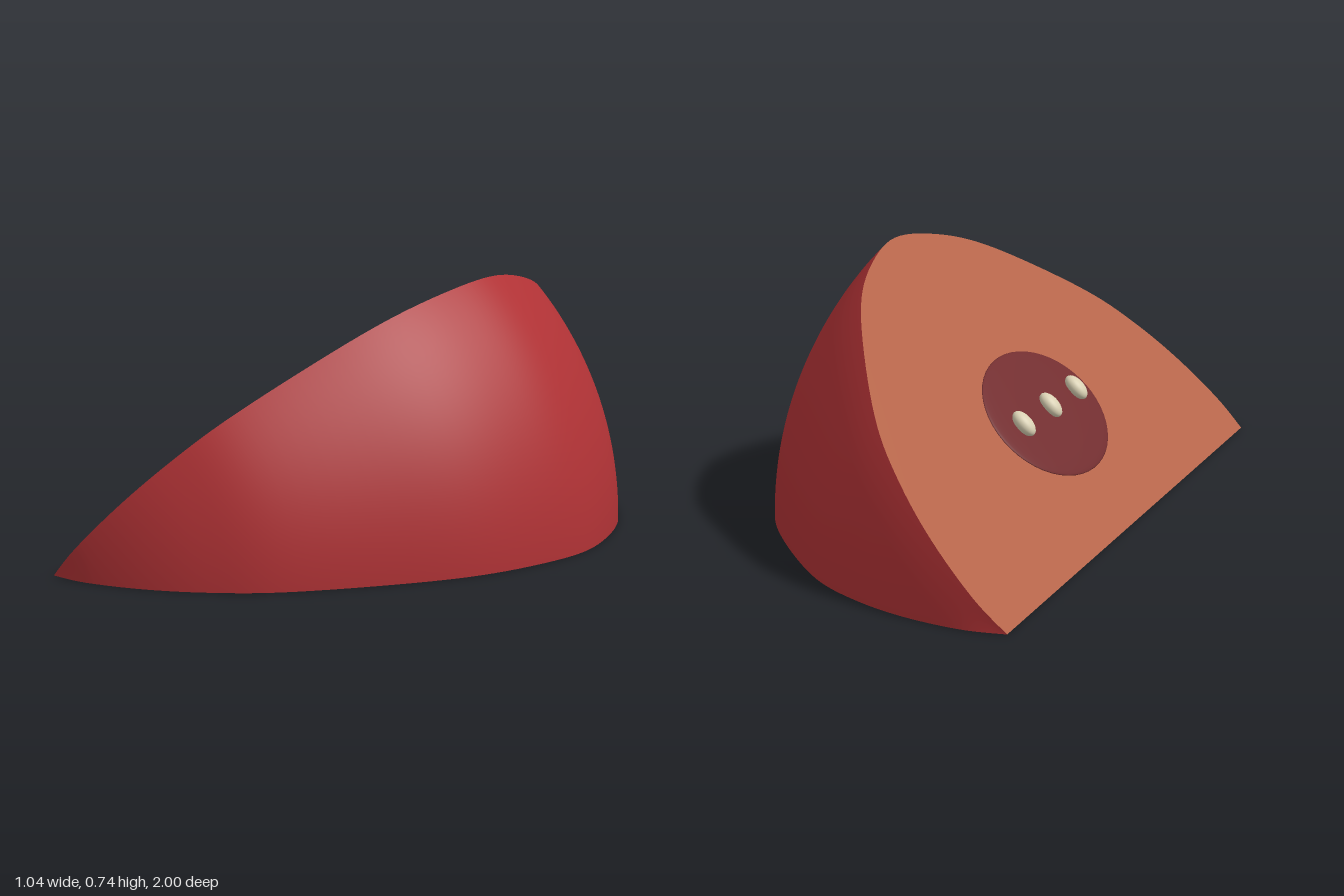
import * as THREE from 'three';

const WEDGE = Math.PI / 4;

function material(name, color, side = THREE.FrontSide) {
  const m = new THREE.MeshStandardMaterial({ color, side });
  m.name = name;
  return m;
}

export function createModel() {
  const skin = material('red skin', 0xb03235, THREE.DoubleSide);
  const flesh = material('flesh', 0xb5654a);
  const core = material('dark core', 0x722e30);
  const seed = material('cream seed', 0xd8cfb2);

  // Half profile (radius, length along z), from the middle to the slightly dimpled tip
  const half = [[1.04, 0], [1.005, 0.2], [0.925, 0.4], [0.785, 0.6], [0.605, 0.8],
    [0.45, 0.905], [0.29, 0.97], [0.12, 1], [0, 0.988]];
  const points = [
    ...half.slice(1).reverse().map(([r, z]) => new THREE.Vector2(r, -z)),
    ...half.map(([r, z]) => new THREE.Vector2(r, z)),
  ];
  const profile = new THREE.SplineCurve(points).getPoints(96);
  profile.forEach((p) => { p.x = Math.max(p.x, 0); });

  const model = new THREE.Group();
  model.name = 'fruitWedge';
  const wedge = new THREE.Group();
  wedge.name = 'wedge';
  wedge.position.x = -0.52;
  model.add(wedge);

  function add(parent, name, geometry, mat) {
    const mesh = new THREE.Mesh(geometry, mat);
    mesh.name = name;
    parent.add(mesh);
    return mesh;
  }

  // Outer skin: an eighth of a turn about the z axis
  const skinGeometry = new THREE.LatheGeometry(profile, 32, Math.PI / 2, WEDGE);
  skinGeometry.rotateX(Math.PI / 2);
  add(wedge, 'skin', skinGeometry, skin);

  // Two flat cut faces
  const cut = new THREE.Shape(profile);
  add(wedge, 'lowerCutFace', new THREE.ShapeGeometry(cut).rotateX(Math.PI / 2), flesh);
  const upper = new THREE.Group();
  upper.name = 'upperCut';
  upper.rotation.z = WEDGE;
  wedge.add(upper);
  add(upper, 'upperCutFace', new THREE.ShapeGeometry(cut).rotateX(-Math.PI / 2), flesh);

  // Shallow domed core on the upper cut face
  const dome = new THREE.SphereGeometry(1, 48, 12, 0, Math.PI * 2, 0, Math.PI / 2);
  const coreMesh = add(upper, 'core', dome, core);
  coreMesh.position.x = 0.39;
  coreMesh.scale.set(0.204, 0.015, 0.32);

  // Row of seeds
  for (const z of [-0.205, 0, 0.205]) {
    const s = add(upper, 'seed', new THREE.SphereGeometry(1, 24, 16), seed);
    s.position.set(0.397, 0.025, z);
    s.scale.set(0.041, 0.022, 0.026);
  }
  return model;
}
